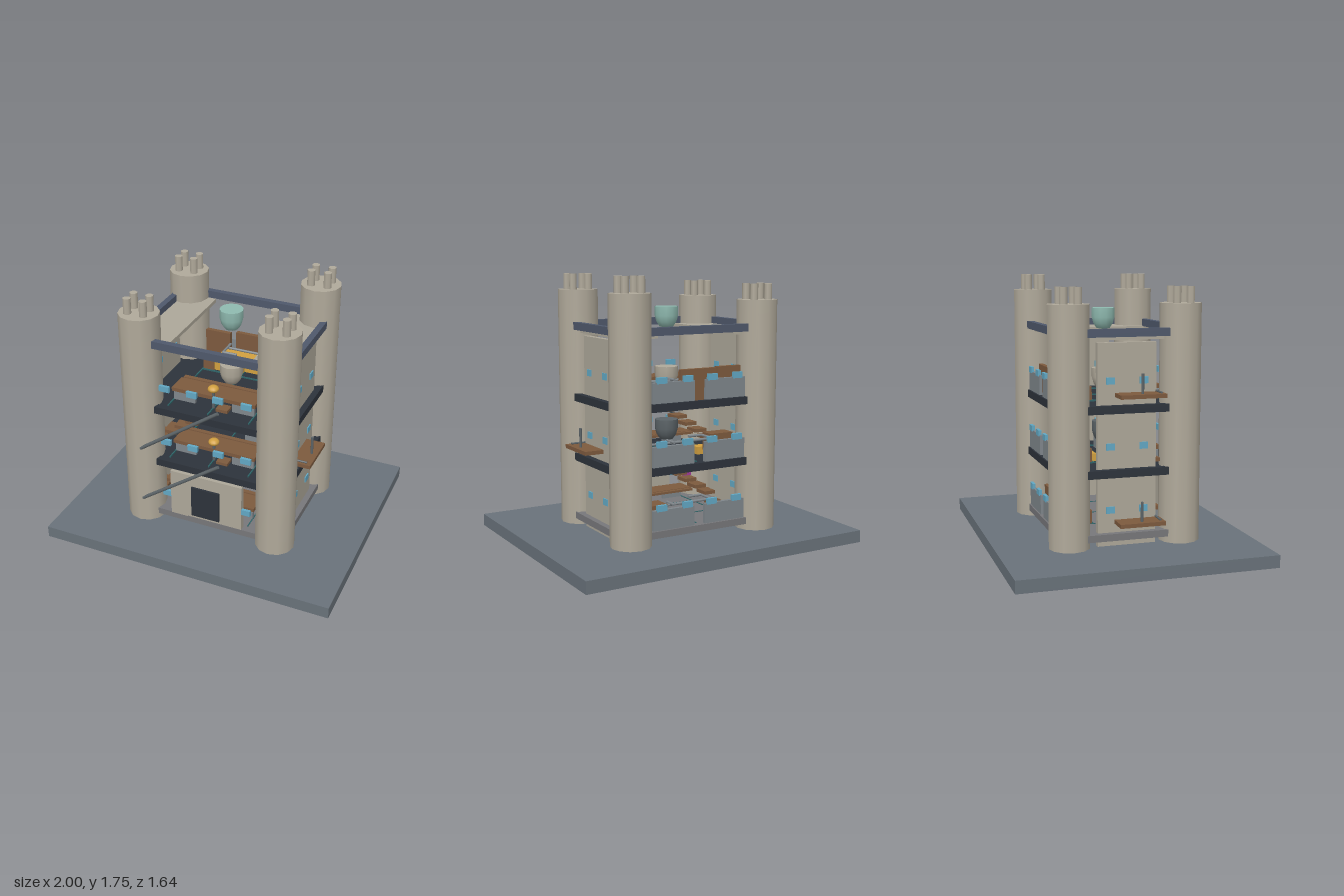
import * as THREE from 'three';

const mats = {};
const mat = (c) => (mats[c] ??= new THREE.MeshStandardMaterial({ color: c }));
const STONE = 0xb0a99a, WALL = 0xada799, DARK = 0x2d333b, BLUE = 0x4f586b, GREY = 0x7f868b,
  WOOD = 0x7d5a3e, GOLD = 0xd2a040, GLASS = 0x62a8c4, TEAL = 0x8fbab0, TRIM = 0x2f6468, STEEL = 0x5c6468;

export function createModel() {
  const root = new THREE.Group();

  function add(name, geo, color, x = 0, y = 0, z = 0) {
    const m = new THREE.Mesh(geo, mat(color));
    m.name = name;
    m.position.set(x, y, z);
    root.add(m);
    return m;
  }
  // Box given by its extents on each axis
  const box = (name, color, x0, x1, y0, y1, z0, z1) =>
    add(name, new THREE.BoxGeometry(x1 - x0, y1 - y0, z1 - z0), color, (x0 + x1) / 2, (y0 + y1) / 2, (z0 + z1) / 2);
  // Straight rod between two points
  function rod(name, color, a, b, r) {
    const p = new THREE.Vector3(...a), q = new THREE.Vector3(...b), d = q.clone().sub(p);
    const m = add(name, new THREE.CylinderGeometry(r, r, d.length(), 8), color);
    m.position.copy(p).add(q).multiplyScalar(0.5);
    m.quaternion.setFromUnitVectors(new THREE.Vector3(0, 1, 0), d.normalize());
  }
  // Rectangular ring of four bars
  function ring(name, color, y0, y1) {
    for (const s of [-1, 1]) {
      add(name, new THREE.BoxGeometry(1.1, y1 - y0, 0.04), color, 0, (y0 + y1) / 2, s * 0.41);
      add(name, new THREE.BoxGeometry(0.04, y1 - y0, 0.78), color, s * 0.53, (y0 + y1) / 2, 0);
    }
  }

  box('base', 0x69727a, -1, 1, 0, 0.08, -0.82, 0.82);

  // Corner towers, each with four chimneys
  for (const sx of [-1, 1]) for (const sz of [-1, 1]) {
    const top = sx > 0 ? 1.65 : 1.59, x = sx * 0.468, z = sz * 0.362;
    add('tower', new THREE.CylinderGeometry(0.132, 0.132, top - 0.08, 12), STONE, x, (top + 0.08) / 2, z);
    for (const a of [-1, 1]) for (const b of [-1, 1])
      add('chimney', new THREE.CylinderGeometry(0.026, 0.026, 0.105, 8), STONE, x + a * 0.055, top + 0.05, z + b * 0.045);
  }

  // Side walls with windows, and the ledges above them
  for (const s of [-1, 1]) {
    add('sideWall', new THREE.BoxGeometry(0.04, 1.275, 0.38), WALL, s * 0.49, 0.717, 0);
    add('topLedge', new THREE.BoxGeometry(0.23, 0.025, 0.76), WALL, s * 0.395, 1.382, 0);
    for (const y of [0.31, 0.71, 1.12]) for (const z of [-0.108, 0.108])
      add('sideWindow', new THREE.BoxGeometry(0.055, 0.043, 0.055), GLASS, s * 0.49, y, z);
  }
  ring('roofRim', BLUE, 1.39, 1.44);

  // Floors
  box('groundFloor', 0x77777a, -0.55, 0.55, 0.12, 0.165, -0.43, 0.43);
  for (const y of [0.52, 0.92]) {
    box('floor', DARK, -0.55, 0.55, y, y + 0.045, -0.43, 0.43);
    ring('floorRim', DARK, y, y + 0.05);
  }

  // Fittings repeated on every storey
  [0.165, 0.57, 0.97].forEach((f, level) => {
    for (const x of [-0.28, 0, 0.28]) box('floorTrim', TRIM, x - 0.004, x + 0.004, f - 0.006, f + 0.004, -0.38, 0.38);
    for (const z of [-0.15, 0.12]) box('floorTrim', TRIM, -0.28, 0.28, f - 0.006, f + 0.004, z - 0.004, z + 0.004);
    for (const s of [-1, 1]) {
      add('backParapet', new THREE.BoxGeometry(0.3, 0.13, 0.025), GREY, s * 0.19, f + 0.067, -0.41);
      add('innerPanel', new THREE.BoxGeometry(0.15, 0.06, 0.02), GREY, s * 0.205, f + 0.03, 0.28);
      for (const x of [0.09, 0.28]) {
        if (level > 0 || x > 0.2) add('frontWindow', new THREE.BoxGeometry(0.07, 0.04, 0.02), GLASS, s * x, f + 0.145, 0.42);
        add('backWindow', new THREE.BoxGeometry(0.07, 0.04, 0.02), GLASS, s * x, f + 0.145, -0.42);
      }
    }
    // Wooden counters
    box('counter', WOOD, -0.29, 0.29, f + 0.065, f + 0.09, 0.155, 0.3);
    box('counterShelf', WOOD, -0.28, 0.28, f + 0.075, f + 0.09, 0.115, 0.145);
    box('bench', WOOD, 0.05, 0.13, f + 0.03, f + 0.05, 0.3, 0.37);
    box('crate', WOOD, -0.28, -0.2, f, f + 0.09, -0.24, -0.16);
    // Lamp on a post
    rod('lampPost', STEEL, [0, f, 0.29], [0, f + 0.12, 0.29], 0.01);
    add('lamp', new THREE.SphereGeometry(0.037, 12, 8), GOLD, 0, f + 0.14, 0.29).scale.y = 0.65;
    // Pipework at the back
    rod('pipe', GREY, [-0.15, f + 0.12, -0.29], [0.28, f + 0.12, -0.29], 0.009);
    rod('pipe', GREY, [-0.15, f + 0.13, -0.33], [-0.15, f + 0.13, -0.2], 0.009);
    rod('pipe', GREY, [-0.15, f + 0.13, -0.2], [-0.05, f + 0.13, -0.2], 0.009);
    rod('pipe', GREY, [0.14, f + 0.13, -0.34], [0.14, f + 0.13, -0.25], 0.009);
  });

  // Stair flights between the storeys
  for (const top of [0.48, 0.88]) for (let i = 0; i < 6; i++) {
    const x = -0.03 - i * 0.08, y = top - i * 0.055;
    box('stairStep', WOOD, x - 0.045, x + 0.045, y - 0.012, y + 0.012, 0.12, 0.23);
  }

  // Furniture on single storeys
  box('goldPlatform', GOLD, -0.2, 0.12, 0.97, 1.05, -0.37, -0.22);
  box('goldPlatform', GOLD, -0.2, 0.0, 0.97, 1.03, -0.22, -0.17);
  box('backCabinet', WOOD, -0.34, -0.16, 0.97, 1.17, -0.37, -0.34);
  box('backCabinet', WOOD, -0.13, 0.13, 0.97, 1.17, -0.405, -0.375);
  box('desk', WOOD, -0.33, -0.16, 0.6, 0.72, -0.3, -0.2);
  box('goldBench', GOLD, -0.25, -0.12, 0.57, 0.62, -0.2, -0.12);
  box('locker', GREY, 0.14, 0.23, 0.57, 0.7, 0.0, 0.1);
  box('backDesk', WOOD, 0.18, 0.36, 0.22, 0.3, -0.32, -0.2);
  for (const y of [0.35, 0.755])
    add('goldPot', new THREE.CylinderGeometry(0.026, 0.02, 0.04, 10), GOLD, 0.285, y, -0.23);
  box('pinkBox', 0xa23b9a, -0.32, -0.26, 0.33, 0.38, 0.2, 0.25);

  // Central hanging bowls
  const bowl = [[0, 0], [0.045, 0.008], [0.066, 0.04], [0.077, 0.08], [0.077, 0.14]].map((p) => new THREE.Vector2(...p));
  for (const [y, c] of [[1.4, TEAL], [1.005, STONE], [0.65, STEEL]]) {
    add('bowl', new THREE.LatheGeometry(bowl, 12), c, 0, y, 0);
    add('bowlTop', new THREE.CylinderGeometry(0.077, 0.077, 0.004, 12), c, 0, y + 0.139, 0);
  }

  // Entrance
  box('entrance', WALL, -0.255, 0.255, 0.16, 0.5, 0.39, 0.43);
  box('door', DARK, -0.1, 0.1, 0.19, 0.415, 0.42, 0.445);

  // Slanted poles across the front
  for (const y of [0.26, 0.66]) rod('frontPole', STEEL, [-0.44, y, 0.48], [0.115, y + 0.4, 0.48], 0.012);

  // Balconies
  for (const [s, y] of [[1, 0.62], [-1, 0.22], [-1, 1.02]]) {
    add('balcony', new THREE.BoxGeometry(0.13, 0.025, 0.295), WOOD, s * 0.575, y + 0.013, 0.067);
    rod('balconyPost', STEEL, [s * 0.6, y + 0.02, 0.07], [s * 0.6, y + 0.15, 0.07], 0.009);
    rod('balconyBar', STEEL, [s * 0.5, y + 0.03, 0.19], [s * 0.61, y + 0.03, 0.19], 0.007);
  }
  return root;
}
